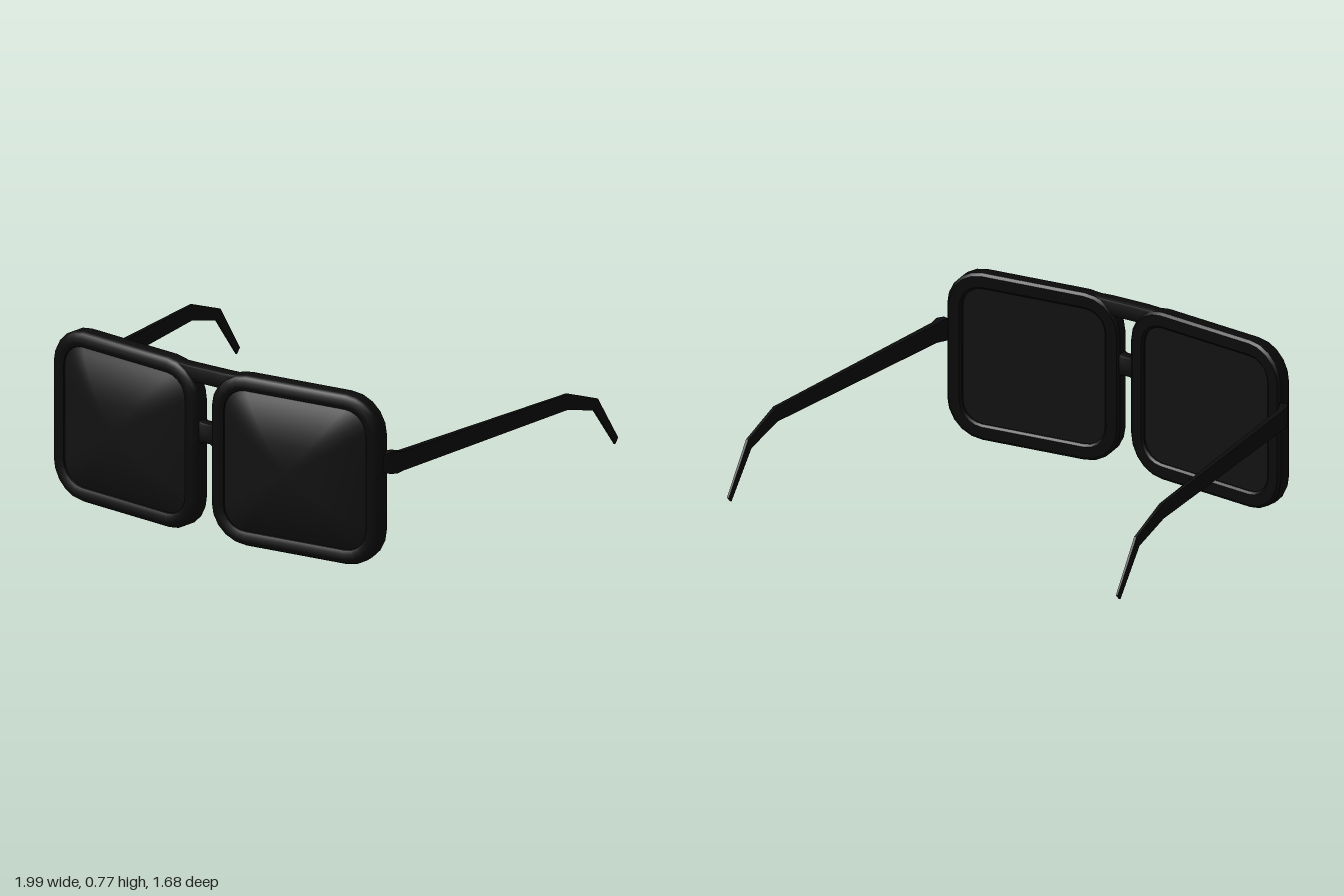
import * as THREE from 'three';
import { toCreasedNormals } from 'three/addons/utils/BufferGeometryUtils.js';

const frameMat = new THREE.MeshStandardMaterial({ color: 0x0a0a0a });
const lensMat = new THREE.MeshStandardMaterial({ color: 0x121212 });

// Skin a list of equal-length rings of [x, y, z], counter-clockwise about the travel direction
function loft(rings, crease = 0.6) {
  const n = rings[0].length, index = [];
  for (let k = 0; k < rings.length - 1; k++) {
    for (let i = 0; i < n; i++) {
      const j = (i + 1) % n;
      const a = k * n + i, b = k * n + j, c = a + n, d = b + n;
      index.push(a, b, d, a, d, c);
    }
  }
  const geo = new THREE.BufferGeometry();
  geo.setAttribute('position', new THREE.Float32BufferAttribute(rings.flat(2), 3));
  geo.setIndex(index);
  return toCreasedNormals(geo, crease);
}

// Close both ends of a loft by collapsing them to their centres
function capped(rings) {
  const centre = (r) => {
    const c = [0, 1, 2].map((a) => r.reduce((s, p) => s + p[a], 0) / r.length);
    return r.map(() => c);
  };
  return [centre(rings[0]), ...rings, centre(rings[rings.length - 1])];
}

// Rounded rectangle ring around the origin at depth z
function roundRect(w, h, r, z, scale = 1, steps = 5) {
  const ring = [];
  [[1, 1], [-1, 1], [-1, -1], [1, -1]].forEach(([sx, sy], q) => {
    for (let i = 0; i <= steps; i++) {
      const t = (q + i / steps) * Math.PI / 2;
      ring.push([(sx * (w - r) + r * Math.cos(t)) * scale, (sy * (h - r) + r * Math.sin(t)) * scale, z]);
    }
  });
  return ring;
}

const W = 0.414, H = 0.385, R = 0.17;
const inset = (d, z) => roundRect(W - d, H - d, R - d, z);

function rimGeometry() {
  const profile = [[0.012, -0.043], [0, -0.033], [0, 0.018], [0.008, 0.032], [0.025, 0.042],
    [0.05, 0.042], [0.066, 0.034], [0.072, 0.02], [0.072, -0.034], [0.062, -0.043], [0.012, -0.043]];
  return loft(profile.map(([d, z]) => inset(d, z)));
}

function lensGeometry() {
  const w = W - 0.068, h = H - 0.068, r = R - 0.068;
  const rings = [0, 1].map((s) => roundRect(w, h, r, -0.028, s));
  for (const s of [1, 0.93, 0.84, 0.72, 0.58, 0.42, 0.22, 0]) {
    rings.push(roundRect(w, h, r, 0.028 + 0.078 * (1 - s ** 2.3), s));
  }
  return loft(rings);
}

// Temple stations: x, top [y, z], bottom [y, z], thickness
const templeStations = [
  [0.84, [0.51, 0.68], [0.44, 0.68], 0.03],
  [0.862, [0.527, 0.658], [0.43, 0.658], 0.036],
  [0.877, [0.527, 0.635], [0.428, 0.635], 0.036],
  [0.883, [0.517, 0.6], [0.43, 0.6], 0.028],
  [0.985, [0.485, -0.485], [0.416, -0.475], 0.016],
  [0.99, [0.405, -0.692], [0.358, -0.668], 0.012],
  [0.992, [0.187, -0.84], [0.163, -0.818], 0.009],
];

function templeGeometry(side) {
  const rings = templeStations.map(([x, top, bottom, t], i) => {
    // Near the hinge the section turns towards the rim
    const turn = [0.9, 0.5, 0.2][i] ?? 0;
    const dx = Math.cos(turn) * t / 2, dz = Math.sin(turn) * t / 2;
    const ring = [[x + dx, top[0], top[1] + dz], [x + dx, bottom[0], bottom[1] + dz],
      [x - dx, bottom[0], bottom[1] - dz], [x - dx, top[0], top[1] - dz]];
    const placed = ring.map((p) => [p[0] * side, p[1], p[2]]);
    return side < 0 ? placed.reverse() : placed;
  });
  return loft(capped(rings), 0.5);
}

// Bar across the nose from stations: x, centre y, centre z, half height, half depth
function barGeometry(stations) {
  const full = [...stations.slice().reverse().map(([x, ...rest]) => [-x, ...rest]), ...stations];
  return loft(capped(full.map(([x, y, z, h, d]) =>
    roundRect(h, d, 0.4 * Math.min(h, d), 0, 1, 2).map(([p, q]) => [x, y + p, z + q]))));
}

export function createModel() {
  const model = new THREE.Group();
  model.name = 'glasses';
  const add = (parent, name, geo, mat) => {
    const mesh = new THREE.Mesh(geo, mat);
    mesh.name = name;
    parent.add(mesh);
  };

  const rim = rimGeometry(), lens = lensGeometry();
  for (const side of [1, -1]) {
    const label = side > 0 ? 'left' : 'right';
    // Each eyepiece is swept back towards its temple
    const eye = new THREE.Group();
    eye.name = label + 'Eyepiece';
    eye.position.set(side * 0.443, H, 0.732);
    eye.rotation.y = side * 0.11;
    add(eye, label + 'Rim', rim, frameMat);
    add(eye, label + 'Lens', lens, lensMat);
    model.add(eye);
    add(model, label + 'Temple', templeGeometry(side), frameMat);
  }

  // Brow bar and nose bridge
  add(model, 'browBar', barGeometry([[0.03, 0.725, 0.765, 0.039, 0.03],
    [0.09, 0.725, 0.765, 0.039, 0.031], [0.21, 0.742, 0.757, 0.022, 0.022]]), frameMat);
  add(model, 'noseBridge', barGeometry([[0.02, 0.468, 0.768, 0.047, 0.025],
    [0.035, 0.468, 0.768, 0.053, 0.028], [0.06, 0.468, 0.768, 0.056, 0.03]]), frameMat);
  return model;
}
